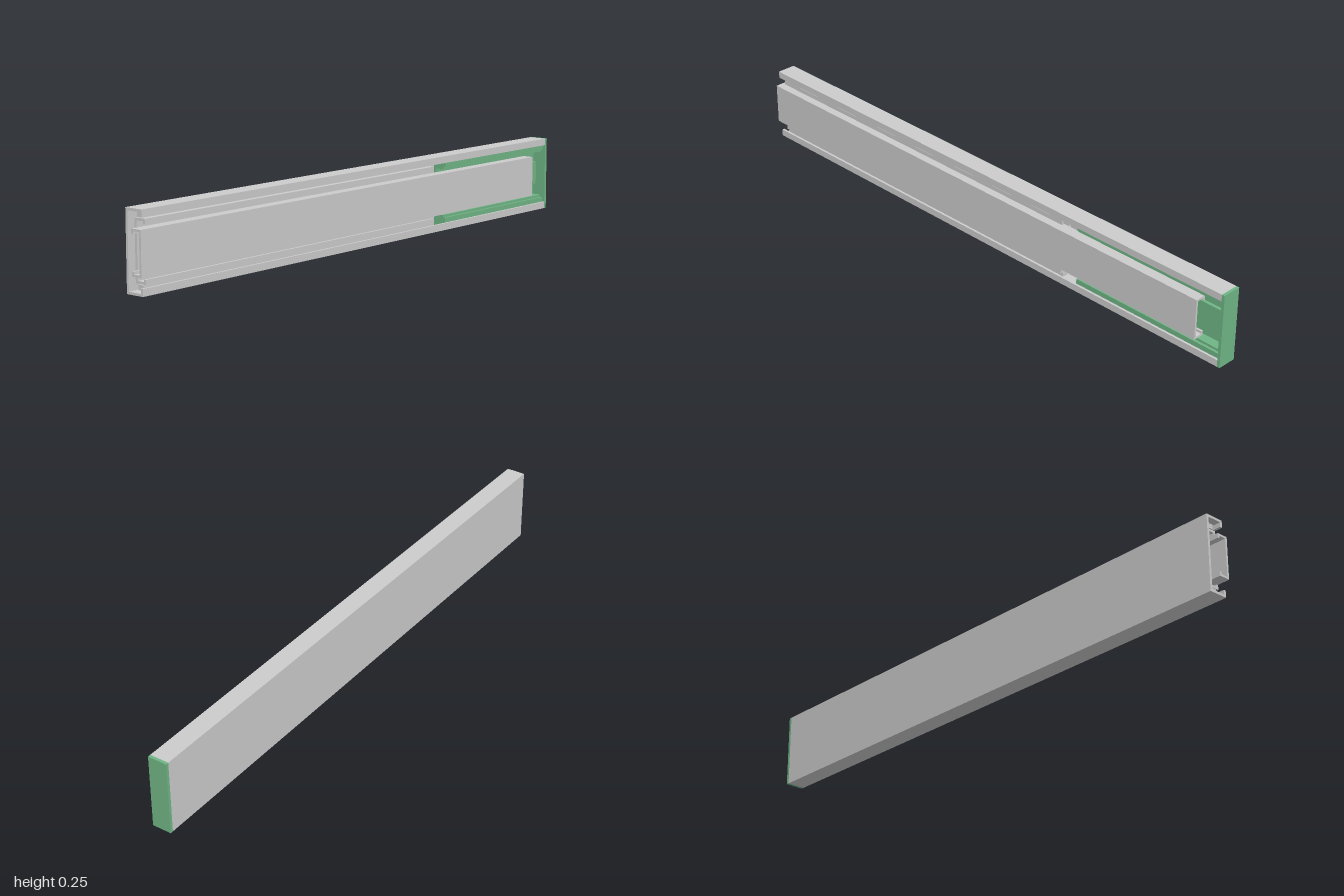
import * as THREE from 'three';

const MID = 0.125; // height of the rail's horizontal symmetry line
const grey = new THREE.MeshStandardMaterial({ color: 0xcccccc });
const green = new THREE.MeshStandardMaterial({ color: 0x6fb585 });

// Extrude a section along x. half = [z, distance from mid height], mirrored top to bottom.
function rail(name, half, x0, x1, material) {
  const lower = half.map(([z, h]) => [z, -h]).reverse();
  const points = [...half, ...lower].map(([z, h]) => new THREE.Vector2(-z, MID + h));
  const geometry = new THREE.ExtrudeGeometry(new THREE.Shape(points), {
    depth: x1 - x0, bevelEnabled: false,
  });
  geometry.rotateY(Math.PI / 2).translate(x0, 0, 0);
  const mesh = new THREE.Mesh(geometry, material);
  mesh.name = name;
  return mesh;
}

function box(name, x0, x1, y0, y1, z0, z1, material) {
  const mesh = new THREE.Mesh(new THREE.BoxGeometry(x1 - x0, y1 - y0, z1 - z0), material);
  mesh.position.set((x0 + x1) / 2, (y0 + y1) / 2, (z0 + z1) / 2);
  mesh.name = name;
  return mesh;
}

export function createModel() {
  const group = new THREE.Group();
  group.name = 'drawerSlide';

  // Outer channel, open to the front with turned-in lips
  group.add(rail('outerRail', [
    [-0.035, 0.125], [0.03, 0.125], [0.03, 0.102], [0.022, 0.102],
    [0.022, 0.117], [-0.027, 0.117],
  ], -0.99, 0.99, grey));

  // Middle channel, nested between outer and inner rails
  group.add(rail('middleRail', [
    [-0.019, 0.095], [0.022, 0.095], [0.022, 0.08], [0.014, 0.08],
    [0.014, 0.087], [-0.011, 0.087],
  ], -0.97, 0.355, grey));

  // Inner channel, its flat web facing the front
  group.add(rail('innerRail', [
    [0.036, 0.069], [-0.002, 0.069], [-0.002, 0.054], [0.005, 0.054],
    [0.005, 0.062], [0.029, 0.062],
  ].reverse(), -1, 0.905, grey));

  // Ball strips running between the rails
  for (const side of [-1, 1]) {
    const y = MID + side * 0.105;
    group.add(box('ballRetainer', -0.97, 0.355, y - 0.008, y + 0.008, -0.008, 0.012, grey));
  }

  // Damper insert lining the closed end, with a raised centre block
  group.add(rail('damperHousing', [
    [-0.027, 0.117], [0.021, 0.117], [0.021, 0.086], [0.012, 0.086],
    [0.012, 0.078], [-0.019, 0.078], [-0.019, 0.04], [-0.008, 0.04],
  ], 0.42, 0.99, green));

  // Cap across the closed end
  group.add(box('endCap', 0.99, 1, 0, 0.25, -0.035, 0.03, green));
  return group;
}
